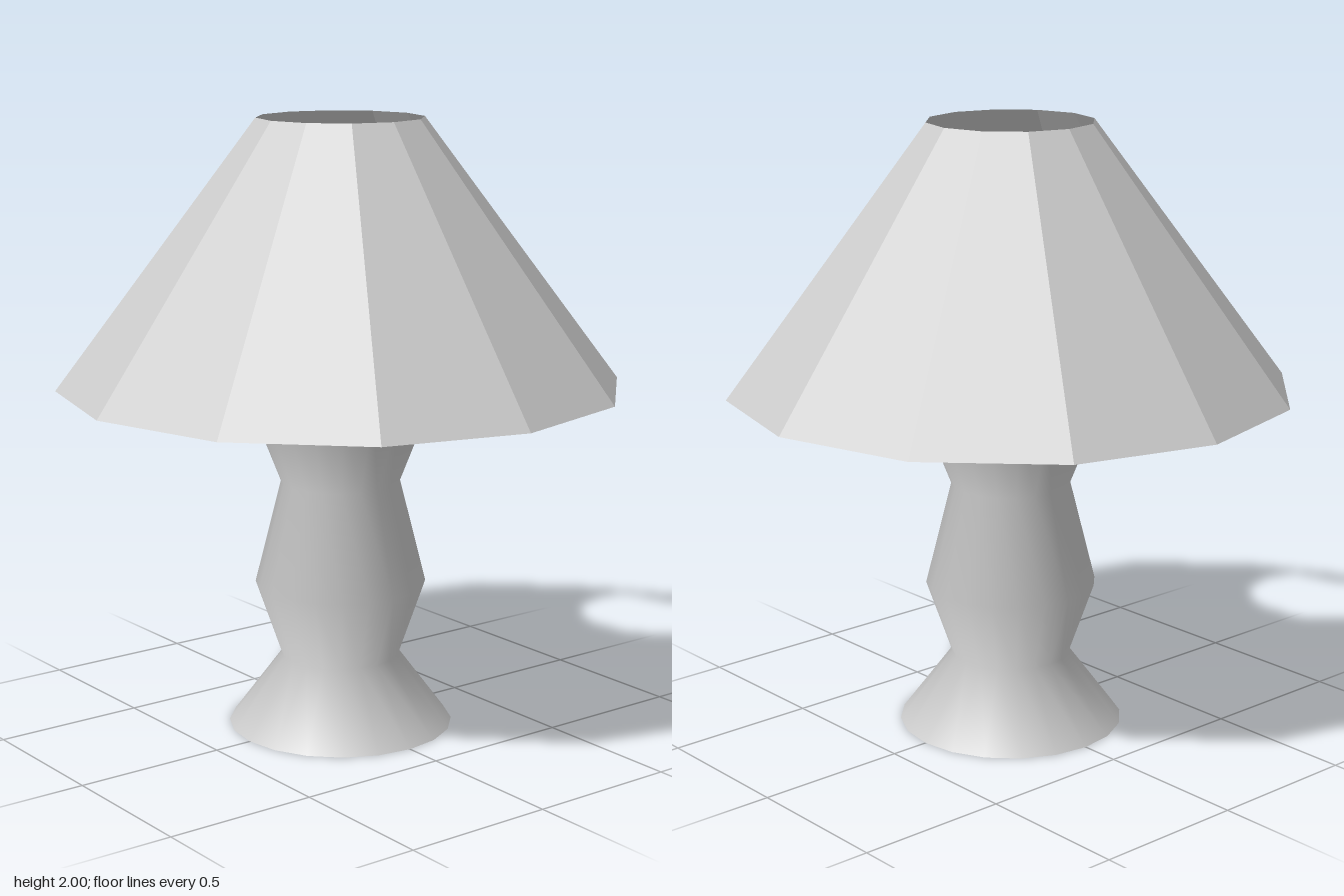
import * as THREE from 'three';

export function createModel() {
  const lamp = new THREE.Group();
  lamp.name = 'tableLamp';

  const add = (name, geometry, options = {}, parent = lamp) => {
    const mesh = new THREE.Mesh(geometry, new THREE.MeshStandardMaterial({ color: 0xcccccc, ...options }));
    mesh.name = name;
    parent.add(mesh);
    return mesh;
  };
  const lathe = (points, sides) =>
    new THREE.LatheGeometry(points.map(([r, y]) => new THREE.Vector2(r, y)), sides);

  // Turned body: flared foot, two waists, a belly and a flared top
  const SIDES = 20, BODY_TOP = 1.115;
  const body = new THREE.Group();
  body.name = 'body';
  lamp.add(body);
  add('bodyWall', lathe([[0.37, 0], [0.195, 0.235], [0.28, 0.48], [0.195, 0.82], [0.31, BODY_TOP]], SIDES), {}, body);

  // Flat caps, kept separate so their rims stay sharp
  const cap = (name, radius, y, turn) => {
    const geometry = new THREE.CircleGeometry(radius, SIDES).rotateX(turn);
    add(name, geometry, {}, body).position.y = y;
  };
  cap('bodyTop', 0.31, BODY_TOP, -Math.PI / 2);
  cap('bodyBottom', 0.37, 0, Math.PI / 2);

  // Bulb: tapered neck running into a round top
  const R = 0.19, CENTRE = 1.41;
  const profile = [[0, 1.105], [0.06, 1.112], [0.08, 1.14], [0.15, 1.27], [0.18, 1.345]];
  for (let i = 0; i <= 8; i++) {
    const a = (i / 8) * Math.PI / 2;
    profile.push([i === 8 ? 0 : R * Math.cos(a), CENTRE + R * Math.sin(a)]);
  }
  add('bulb', lathe(profile, 24));

  // Twelve-sided shade, open at both ends
  const SHADE_BOTTOM = 1.14, SHADE_TOP = 2;
  const shade = add(
    'shade',
    new THREE.CylinderGeometry(0.27, 0.917, SHADE_TOP - SHADE_BOTTOM, 12, 1, true),
    { flatShading: true, side: THREE.DoubleSide }
  );
  shade.position.y = (SHADE_TOP + SHADE_BOTTOM) / 2;

  return lamp;
}
